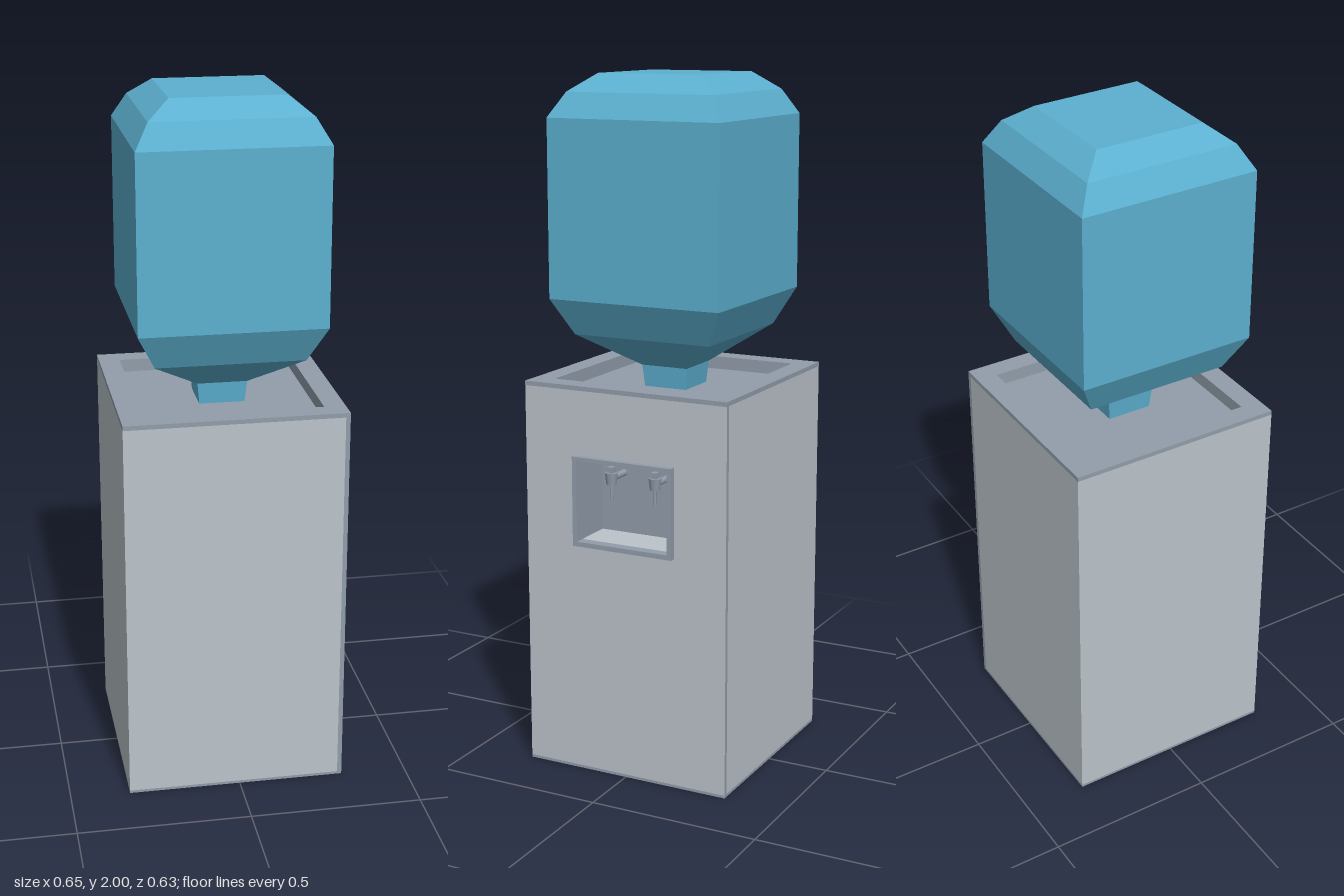
import * as THREE from 'three';

const mat = (name, color) => Object.assign(new THREE.MeshStandardMaterial({ color }), { name });

export function createModel() {
  const shellGrey = mat('shell grey', 0xbcc4ca);
  const trimGrey = mat('trim blue grey', 0x929eab);
  const bottleBlue = mat('bottle blue', 0x5cb0d0);

  const model = new THREE.Group();
  model.name = 'waterCooler';
  const cooler = new THREE.Group();
  cooler.name = 'cooler';
  cooler.position.x = -0.0095;
  model.add(cooler);

  const add = (name, geometry, material, x = 0, y = 0, z = 0, parent = cooler) => {
    const mesh = new THREE.Mesh(geometry, material);
    mesh.name = name;
    mesh.position.set(x, y, z);
    parent.add(mesh);
    return mesh;
  };
  // Box given by its lower and upper corners
  const box = (name, material, a, b, parent) => add(name,
    new THREE.BoxGeometry(b[0] - a[0], b[1] - a[1], b[2] - a[2]), material,
    (a[0] + b[0]) / 2, (a[1] + b[1]) / 2, (a[2] + b[2]) / 2, parent);
  // Rectangular plate with a rectangular hole; bounds are [x0, y0, x1, y1]
  const rectPoints = ([x0, y0, x1, y1]) => [[x0, y0], [x1, y0], [x1, y1], [x0, y1]]
    .map(([x, y]) => new THREE.Vector2(x, y));
  const framePlate = (outer, inner, depth) => {
    const shape = new THREE.Shape(rectPoints(outer));
    shape.holes.push(new THREE.Path(rectPoints(inner).reverse()));
    return new THREE.ExtrudeGeometry(shape, { depth, bevelEnabled: false });
  };

  const H = 0.3175, T = 0.013, Y0 = 0.008, Y1 = 1.132, TOP = 1.145;

  // Cabinet: base and three plain walls
  box('base', trimGrey, [-H, 0, -H], [H, Y0, H]);
  box('leftWall', shellGrey, [-H, Y0, -H + T], [-H + T, Y1, H - T]);
  for (const s of [1, -1]) {
    add(s > 0 ? 'frontWall' : 'backWall', new THREE.BoxGeometry(2 * H - T, Y1 - Y0, T),
      shellGrey, -T / 2, (Y0 + Y1) / 2, s * (H - T / 2));
  }

  // Dispensing wall with opening, and its raised frame
  const opening = [-0.143, 0.697, 0.143, 0.933];
  add('dispenserWall', framePlate([-H, Y0, H, Y1], opening, T),
    [shellGrey, trimGrey], H - T).rotation.y = Math.PI / 2;
  add('dispenserFrame', framePlate([-0.157, 0.683, 0.157, 0.945], opening, 0.018),
    trimGrey, H).rotation.y = Math.PI / 2;

  // Niche behind the opening
  const back = 0.1875, front = H - T, [z0, n0, z1, n1] = opening, p = 0.01;
  box('nicheBack', trimGrey, [back - p, n0 - p, z0 - p], [back, n1 + p, z1 + p]);
  box('nicheCeiling', trimGrey, [back, n1, z0 - p], [front, n1 + p, z1 + p]);
  box('nicheFloor', shellGrey, [back, n0 - p, z0 - p], [front, n0, z1 + p]);
  box('nicheSideBack', trimGrey, [back, n0, z0 - p], [front, n1, z0]);
  box('nicheSideFront', trimGrey, [back, n0, z1], [front, n1, z1 + p]);

  // Two taps
  for (const z of [0.07, -0.07]) {
    const tap = new THREE.Group();
    tap.name = 'tap';
    tap.position.set(back, 0.875, z);
    cooler.add(tap);
    const pipe = add('tapPipe', new THREE.CylinderGeometry(0.01, 0.01, 0.07, 8), trimGrey, 0.035, 0, 0, tap);
    pipe.rotation.z = Math.PI / 2;
    add('tapBody', new THREE.CylinderGeometry(0.019, 0.015, 0.034, 8), trimGrey, 0.076, 0, 0, tap);
    add('tapSpout', new THREE.CylinderGeometry(0.005, 0.005, 0.05, 8), trimGrey, 0.076, -0.035, 0, tap);
    box('tapLever', trimGrey, [0.066, 0.015, -0.009], [0.086, 0.034, 0.009], tap);
  }

  // Top rim around a shallow tray
  const W = 0.256, floorY = 1.107;
  const tray = [-W, -W, W, W];
  add('topRim', framePlate([-H, -H, H, H], tray, TOP - Y1), trimGrey, 0, Y1).rotation.x = -Math.PI / 2;
  add('trayWall', framePlate([-0.3, -0.3, 0.3, 0.3], tray, Y1 - floorY), trimGrey, 0, floorY)
    .rotation.x = -Math.PI / 2;
  box('trayFloor', trimGrey, [-0.3, floorY - 0.01, -0.3], [0.3, floorY, 0.3]);

  // Square bottle: profile of half width and height, turned in four flat sides
  const profile = [[0, 1.107], [0.066, 1.107], [0.072, 1.17], [0.213, 1.27], [0.265, 1.375],
    [0.265, 1.88], [0.225, 1.95], [0.16, 2], [0, 2]]
    .map(([r, y]) => new THREE.Vector2(r * Math.SQRT2, y));
  const bottle = new THREE.LatheGeometry(profile, 4, Math.PI / 4).toNonIndexed();
  bottle.computeVertexNormals();
  add('bottle', bottle, bottleBlue);

  return model;
}
